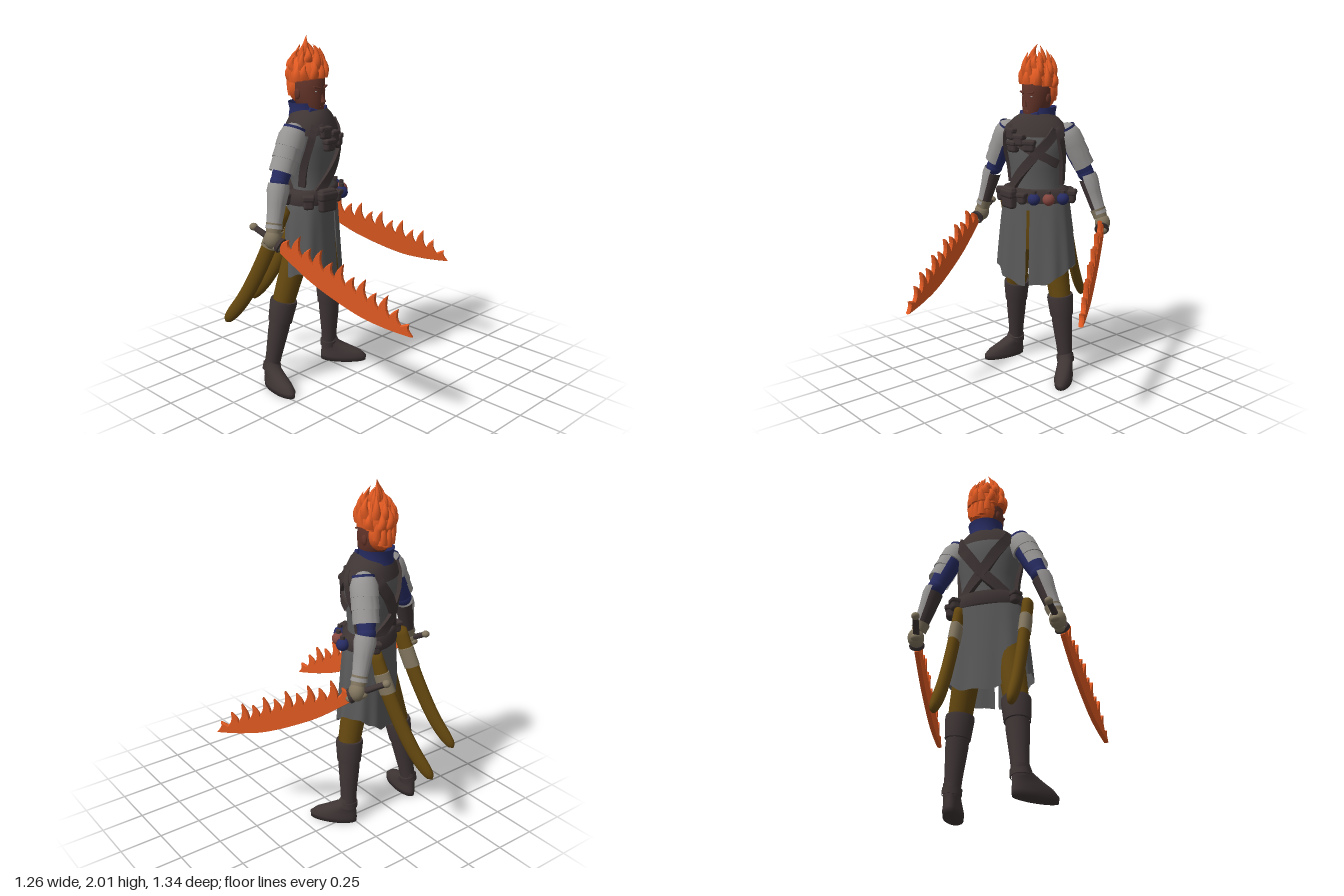
import * as THREE from 'three';
import { mergeVertices, toCreasedNormals } from 'three/addons/utils/BufferGeometryUtils.js';
import { RoundedBoxGeometry } from 'three/addons/geometries/RoundedBoxGeometry.js';

const V = (x, y, z) => new THREE.Vector3(x, y, z);
const TAU = Math.PI * 2, TURN = 0.49;
const mat = (name, color, side = THREE.FrontSide) => {
  const m = new THREE.MeshStandardMaterial({ color, side });
  m.name = name;
  return m;
};

export function createModel() {
  const M = {
    flame: mat('flame orange', 0xe25a22), skin: mat('brown skin', 0x623328),
    cloth: mat('tunic grey', 0x5a5a5a, THREE.DoubleSide), plate: mat('plate grey', 0x979594, THREE.DoubleSide),
    leather: mat('dark leather', 0x3f3535), blue: mat('navy cloth', 0x272c62, THREE.DoubleSide),
    tan: mat('tan', 0x82765f), red: mat('dull red', 0x84463f), brown: mat('ochre brown', 0x65480f),
  };
  const root = new THREE.Group();
  root.name = 'swordsman';
  const add = (parent, name, geo, m) => {
    const o = new THREE.Mesh(geo, m);
    o.name = name;
    parent.add(o);
    return o;
  };
  const group = (parent, name, x, z, turn) => {
    const g = new THREE.Group();
    g.name = name;
    g.position.set(x, 0, z);
    g.rotation.y = turn;
    parent.add(g);
    return g;
  };
  let seed = 7;
  const rnd = () => (seed = (seed * 16807) % 2147483647) / 2147483647;

  // Surface from a point rule: u runs around, v runs upward or along
  const grid = (nu, nv, fn) => {
    const pos = [], idx = [];
    for (let j = 0; j <= nv; j++) for (let i = 0; i <= nu; i++) pos.push(...fn(i / nu, j / nv, i, j).toArray());
    for (let j = 0; j < nv; j++) for (let i = 0; i < nu; i++) {
      const a = j * (nu + 1) + i, c = a + nu + 1;
      idx.push(a, a + 1, c + 1, a, c + 1, c);
    }
    const g = new THREE.BufferGeometry();
    g.setAttribute('position', new THREE.Float32BufferAttribute(pos, 3));
    g.setIndex(idx);
    const out = mergeVertices(g, 1e-5);
    out.computeVertexNormals();
    return out;
  };
  // Stacked ellipses: rows of [y, halfWidth, halfDepth, zOffset]
  const loft = (rows, n = 32, a0 = 0, a1 = TAU) => grid(n, rows.length - 1, (u, v, i, j) => {
    const [y, w, d, cz = 0] = rows[j], a = a0 + (a1 - a0) * u;
    return V(Math.sin(a) * w, y, Math.cos(a) * d + cz);
  });
  // Turned limb from a lower to an upper point; profile of [t, radius]
  const limb = (parent, name, lo, hi, profile, m, phi0 = 0, phi = TAU) => {
    const len = lo.distanceTo(hi);
    const g = new THREE.LatheGeometry(profile.map(([t, r]) => new THREE.Vector2(r, t * len)), 20, phi0, phi);
    const o = add(parent, name, toCreasedNormals(g, 0.8), m);
    o.position.copy(lo);
    o.quaternion.setFromUnitVectors(V(0, 1, 0), hi.clone().sub(lo).normalize());
    return o;
  };
  const ball = (parent, name, p, r, m, sx = 1, sy = 1, sz = 1) => {
    const o = add(parent, name, new THREE.SphereGeometry(r, 18, 12), m);
    o.position.copy(p);
    o.scale.set(sx, sy, sz);
    return o;
  };
  const box = (parent, name, p, w, h, d, m, turn = 0) => {
    const o = add(parent, name, new RoundedBoxGeometry(w, h, d, 2, Math.min(w, h, d) * .35), m);
    o.position.copy(p);
    o.rotation.y = turn;
    return o;
  };

  // Torso
  const body = group(root, 'body', -0.17, -0.195, TURN);
  const torso = [[1.05, .185, .12], [1.12, .165, .12], [1.2, .152, .12], [1.3, .16, .13], [1.4, .178, .142],
    [1.48, .185, .138], [1.53, .172, .12], [1.57, .125, .1], [1.6, .07, .07]];
  add(body, 'tunicTop', loft(torso), M.cloth);
  const skin = (a, y, off = 0) => {
    let k = 0;
    while (k < torso.length - 2 && torso[k + 1][0] < y) k++;
    const [p, q] = [torso[k], torso[k + 1]], t = (y - p[0]) / (q[0] - p[0]);
    return V(Math.sin(a) * (p[1] + (q[1] - p[1]) * t + off), y, Math.cos(a) * (p[2] + (q[2] - p[2]) * t + off));
  };
  add(body, 'shoulderMantle', loft([[1.49, .198, .146], [1.535, .188, .133], [1.585, .135, .112], [1.615, .085, .09]]), M.leather);

  // Skirt, split at the front and longest at the middle
  const sq = x => Math.sign(x) * Math.abs(x) ** .8;
  add(body, 'tunicSkirt', grid(96, 10, (u, v) => {
    const a = 0.02 + (TAU - 0.04) * u, low = 1 - v;
    const hem = 0.65 - 0.055 * Math.cos(2 * a) + 0.007 * Math.sin(11 * a);
    const fold = 0.006 * Math.cos(10 * a) * low;
    return V(sq(Math.sin(a)) * (.185 + .055 * low ** .6 + fold), hem + (1.15 - hem) * v, sq(Math.cos(a)) * (.125 + .022 * low + fold));
  }), M.cloth);
  add(body, 'trouserSeat', loft([[.8, .16, .08], [.9, .175, .1], [1.1, .165, .115]]), M.brown);

  // Belt with pouches and flasks
  add(body, 'belt', loft([[1.095, .185, .125], [1.1, .208, .145], [1.175, .198, .142], [1.18, .15, .12]]), M.leather);
  const onBelt = (a, y, off) => V(Math.sin(a) * (.205 + off), y, Math.cos(a) * (.145 + off));
  [['blueFlask', .22, M.blue], ['redFlask', .62, M.red], ['blueFlask', 1.08, M.blue]].forEach(([name, a, m]) => {
    ball(body, name, onBelt(a, 1.13, .02), .036, m);
    limb(body, 'flaskNeck', onBelt(a, 1.15, .02), onBelt(a, 1.18, .02), [[0, .014], [1, .014], [1, 0]], M.leather);
  });
  [[-.6, .11, .13], [-1.25, .06, .08], [-.12, .05, .06], [1.75, .06, .08], [2.3, .05, .06], [-2.2, .05, .06]].forEach(([a, w, h]) => {
    box(body, 'beltPouch', onBelt(a, 1.125, .012), w, h, .05, M.leather, a);
    box(body, 'pouchFlap', onBelt(a, 1.15, .016), w + .01, h * .45, .055, M.leather, a);
  });

  // Straps that follow the torso through [angle, height] points
  const strap = (name, pts, width) => {
    const c = new THREE.CatmullRomCurve3(pts.map(([a, y]) => V(a, y, 0)));
    const at = t => { const q = c.getPoint(t); return skin(q.x, q.y, .008); };
    const corners = [[-1, 1], [1, 1], [1, -1], [-1, -1]];
    const g = grid(4, 28, (u, v, i) => {
      const a = c.getPoint(v).x, n = V(Math.sin(a), 0, Math.cos(a));
      const t = at(Math.min(1, v + .01)).sub(at(Math.max(0, v - .01))).normalize();
      const [s, o] = corners[i % 4];
      return at(v).addScaledVector(t.cross(n).normalize(), s * width / 2).addScaledVector(n, o * .012);
    });
    add(body, name, toCreasedNormals(g, .7), M.leather);
  };
  strap('chestStrap', [[.95, 1.53], [.45, 1.42], [-.1, 1.31], [-.9, 1.16]], .055);
  strap('bandolier', [[-.85, 1.54], [-.3, 1.46], [.3, 1.4], [1.1, 1.33]], .05);
  [1, -1].forEach(s => {
    strap('backStrap', [[Math.PI - s * .9, 1.53], [Math.PI - s * .5, 1.42], [Math.PI, 1.29], [Math.PI + s * .9, 1.15]], .06);
    strap('shoulderStrap', [[s * 1.0, 1.54], [s * 1.25, 1.42], [s * 1.5, 1.3], [s * 1.6, 1.2]], .04);
  });
  [[-.6, 1.5], [-.25, 1.47], [.08, 1.44], [-.5, 1.43]].forEach(([a, y]) => {
    box(body, 'chestPouch', skin(a, y, .01), .07, .07, .05, M.leather, a);
    box(body, 'chestPouchFlap', skin(a, y + .02, .012), .076, .03, .056, M.leather, a);
  });

  // Head
  const head = group(root, 'head', -.175, -.205, .1);
  add(head, 'collar', loft([[1.57, .1, .098, -.02], [1.61, .094, .092, -.02], [1.65, .1, .096, -.025]], 32, .3, TAU - .3), M.blue);
  [1, -1].forEach(s => { box(head, 'collarPoint', V(s * .055, 1.59, .07), .05, .07, .02, M.blue, s * .45).rotation.z = s * .3; });
  limb(head, 'neck', V(0, 1.52, -.02), V(0, 1.66, 0), [[0, .06], [1, .055]], M.skin);
  add(head, 'face', loft([[1.57, 0, 0, .06], [1.573, .025, .022, .062], [1.595, .05, .06, .032], [1.64, .07, .088, .01],
    [1.69, .078, .097, .002], [1.73, .08, .098], [1.78, .078, .097], [1.84, .055, .07], [1.86, 0, 0]]), M.skin);
  const nose = add(head, 'nose', new THREE.ConeGeometry(.016, .055, 8), M.skin);
  nose.position.set(0, 1.682, .1);
  nose.rotation.x = -.2;
  box(head, 'lips', V(0, 1.632, .088), .034, .01, .016, M.red);
  [1, -1].forEach(s => {
    ball(head, 'eye', V(s * .032, 1.715, .084), .01, M.plate, 1.2, .5, .6);
    const brow = box(head, 'brow', V(s * .034, 1.737, .09), .042, .01, .014, M.skin, s * .35);
    brow.rotation.z = s * .2;
    ball(head, 'ear', V(s * .083, 1.7, -.01), .024, M.skin, .4, 1.2, .8);
  });

  // Flame hair: a swept cap with bent tongues
  const cap = add(head, 'hairCap', new THREE.SphereGeometry(1, 28, 16, 0, TAU, 0, Math.PI * .56), M.flame);
  cap.scale.set(.1, .12, .108);
  cap.position.set(0, 1.79, -.012);
  cap.rotation.x = -.2;
  ball(head, 'hairBack', V(0, 1.73, -.058), .082, M.flame, 1.04, 1.15, .66);
  const tongue = (p, r, h, lean, dir) => {
    const g = new THREE.ConeGeometry(r, h, 9, 8), q = g.attributes.position;
    g.translate(0, h / 2, 0);
    for (let i = 0; i < q.count; i++) {
      const t = q.getY(i) / h, b = lean * (Math.sin(t * Math.PI) * .8 - t * .25);
      q.setX(i, q.getX(i) + Math.sin(dir) * b);
      q.setZ(i, q.getZ(i) + Math.cos(dir) * b);
    }
    g.computeVertexNormals();
    add(head, 'hairTongue', g, M.flame).position.copy(p);
  };
  [[.08, 1.77, 11, .13], [.07, 1.82, 9, .125], [.045, 1.86, 7, .115], [.012, 1.885, 3, .11]].forEach(([r, y, n, h]) => {
    for (let i = 0; i < n; i++) {
      const a = (i + rnd() * .6) / n * TAU, front = Math.max(0, Math.cos(a));
      tongue(V(Math.sin(a) * r, y + front * .015, Math.cos(a) * r * 1.08 - .012), .028 + rnd() * .008, h * (.7 + rnd() * .4), .018 + rnd() * .016, a + rnd() - .5);
    }
  });
  for (let i = 0; i < 7; i++) {
    const a = Math.PI + (i - 3) * .38;
    tongue(V(Math.sin(a) * .075, 1.67 + .01 * (i - 3) ** 2, Math.cos(a) * .085 - .012), .03, .15, .02, a);
  }

  // Arms, hands and flaming swords
  const arm = (side, S, E, W, H, pommel, base, tip, pitch) => {
    const g = group(root, side + 'Arm', 0, 0, 0), out = TURN + (side === 'left' ? 1 : -1) * Math.PI / 2;
    limb(g, 'sleeve', E, S, [[0, .047], [.3, .056], [1, .062]], M.blue);
    ball(g, 'elbow', E, .05, M.blue);
    const lo = E.clone().lerp(S, .16), hi = S.clone().lerp(E, -.08);
    limb(g, 'pauldron', lo, hi, [[.5, .066], [.5, .077], [.72, .076], [.88, .06], [.97, .03], [1, 0]], M.plate);
    limb(g, 'upperArmPlates', lo, hi, [[0, .072], [.26, .071], [.26, .076], [.54, .073]], M.plate, out - 1.9, 3.8);
    limb(g, 'bracer', W, E, [[0, .038], [.5, .046], [.85, .051]], M.leather);
    limb(g, 'bracerPlate', W, E, [[-.05, .048], [.08, .043], [.5, .052], [.8, .062], [.95, .058]], M.plate, out - 1.65, 3.3);
    // Hand
    ball(g, 'palm', H, .047, M.tan, .95, 1.15, 1);
    limb(g, 'cuff', W.clone().lerp(H, .5), W.clone().lerp(E, .08), [[0, .04], [1, .046]], M.tan);
    const axis = base.clone().sub(pommel).normalize();
    for (let i = 0; i < 4; i++) {
      const f = ball(g, 'finger', H.clone().addScaledVector(axis, (i - 1.5) * .022).add(V(0, -.027, 0)), .018, M.tan, 1.6, 1.2, 1.6);
      f.rotation.y = TURN;
    }
    // Hilt
    limb(g, 'grip', pommel, base, [[0, 0], [0, .016], [.7, .018], [1, .02], [1, 0]], M.leather);
    ball(g, 'pommel', pommel, .023, M.tan, 1, .9, 1);
    limb(g, 'guard', base.clone().addScaledVector(axis, -.02), base, [[0, 0], [0, .038], [1, .043], [1, 0]], M.leather);
    // Blade with flame tongues along its back
    const L = .77, top = t => .005 - .25 * t - .075 * t * t;
    const sh = new THREE.Shape();
    sh.moveTo(0, -.035);
    sh.splineThru([[.2, -.165], [.45, -.275], [.62, -.315], [L, -.33]].map(p => new THREE.Vector2(...p)));
    const N = 12;
    for (let i = N; i > 0; i--) {
      const x0 = i / N * L, x1 = (i - 1) / N * L, xm = (x0 + x1) / 2, y = top(xm / L);
      const h = i === N ? .035 : i === 1 ? .045 : i % 2 ? .07 : .1;
      sh.quadraticCurveTo(xm - .004, y + h * .25, xm + .008, y + h);
      sh.quadraticCurveTo(x1 - .002, y + h * .5, x1, top(x1 / L));
    }
    const geo = new THREE.ExtrudeGeometry(sh, { depth: .008, bevelEnabled: true, bevelThickness: .009, bevelSize: .004, bevelSegments: 1, curveSegments: 5 });
    geo.translate(0, 0, -.004);
    const blade = add(g, 'flameBlade', geo, M.flame);
    const dx = tip.x - base.x, dz = tip.z - base.z;
    blade.position.copy(base);
    blade.rotation.set(0, Math.atan2(-dz, dx), pitch);
    blade.scale.x = Math.hypot(dx, dz) / L;
  };
  arm('right', V(-.345, 1.535, -.135), V(-.48, 1.26, -.12), V(-.55, 1.03, -.09), V(-.57, .965, -.085),
    V(-.605, 1.02, -.195), V(-.555, .935, -.03), V(-.27, .535, .69), -.09);
  arm('left', V(-.035, 1.535, -.295), V(.03, 1.26, -.41), V(.105, 1.03, -.45), V(.13, .965, -.46),
    V(.015, 1.02, -.565), V(.155, .935, -.43), V(.625, .6, .175), 0);

  // Legs and boots
  const leg = (side, hip, knee, ankle, turn) => {
    const g = group(root, side + 'Leg', 0, 0, 0);
    limb(g, 'trouserLeg', knee, hip, [[-.1, .06], [.05, .066], [.5, .075], [1, .08]], M.brown);
    limb(g, 'bootShaft', ankle, knee, [[0, .043], [.25, .048], [.6, .061], [1, .063]], M.leather);
    limb(g, 'bootCuff', ankle.clone().lerp(knee, .7), knee, [[0, .062], [.02, .069], [.9, .079], [1, .076], [1, .06]], M.leather);
    limb(g, 'ankleStrap', ankle.clone().lerp(knee, .02), ankle.clone().lerp(knee, .1), [[0, .048], [0, .053], [1, .053], [1, .045]], M.leather);
    const foot = group(g, 'foot', ankle.x, ankle.z, turn);
    add(foot, 'boot', loft([[0, 0, 0, .08], [0, .052, .14, .09], [.03, .055, .142, .09], [.06, .05, .124, .075],
      [.09, .046, .088, .042], [.12, .046, .056, .008], [.16, .043, .044]]), M.leather);
  };
  leg('left', V(-.09, 1, -.23), V(0, .53, -.24), V(.025, .09, -.27), .7);
  leg('right', V(-.26, 1, -.15), V(-.385, .53, -.215), V(-.455, .09, -.265), -.15);

  // Curved scabbards hanging behind the hips
  const scabbard = (x, z) => {
    const g = group(root, 'scabbard', 0, 0, 0), b = V(Math.cos(TURN), 0, -Math.sin(TURN));
    const c = new THREE.CatmullRomCurve3([[0, 1.12], [.37, .77], [.68, .54], [1, .375]].map(([t, y]) => V(x - .18 * t, y, z - .345 * t)));
    const part = (name, v0, v1, k, m) => add(g, name, grid(16, 30, (u, w) => {
      const v = v0 + (v1 - v0) * w, r = w === 0 ? 0 : k * Math.sqrt(Math.max(0, 1 - v ** 12)) * (1 - .1 * v);
      const n = b.clone().cross(c.getTangent(v));
      return c.getPoint(v).addScaledVector(b, r * .031 * Math.sin(u * TAU)).addScaledVector(n, r * .045 * Math.cos(u * TAU));
    }), m);
    part('sheath', 0, 1, 1, M.brown);
    part('sheathBand', .13, .24, 1.1, M.tan);
  };
  scabbard(-.08, -.325);
  scabbard(-.42, -.145);
  return root;
}
